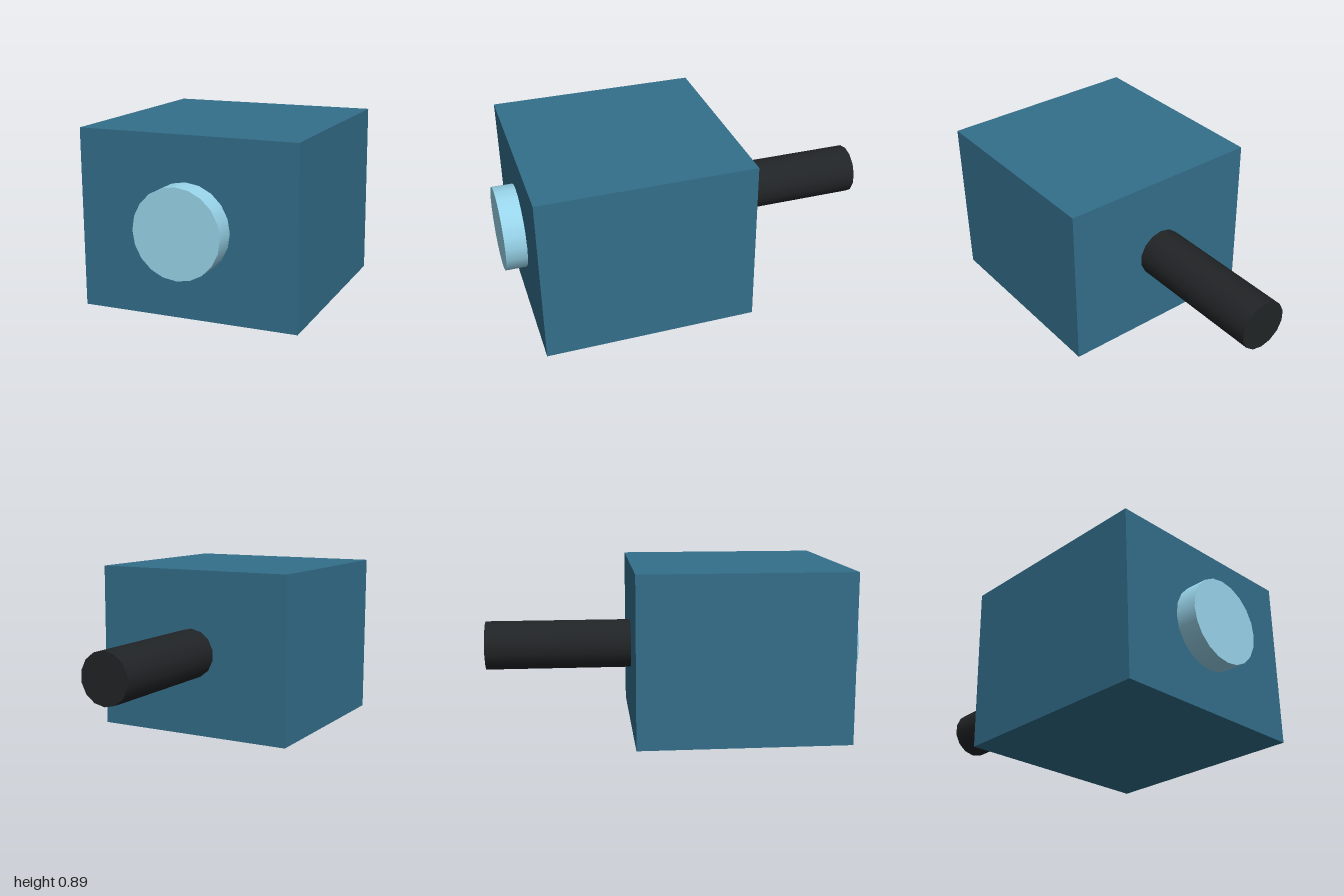
import * as THREE from 'three';

const U = 1 / 9; // base unit: the whole model is 18 units long
const MID = 4 * U; // height of the shared axis

function addPart(group, name, geometry, color, z) {
  const mesh = new THREE.Mesh(geometry, new THREE.MeshStandardMaterial({ color }));
  mesh.name = name;
  mesh.position.set(0, MID, z);
  group.add(mesh);
}

// Cylinder lying along z
const rod = (radius, length, sides) =>
  new THREE.CylinderGeometry(radius, radius, length, sides).rotateX(Math.PI / 2);

export function createModel() {
  const group = new THREE.Group();
  group.name = 'model';

  // Block body
  addPart(group, 'body', new THREE.BoxGeometry(10 * U, 8 * U, 10 * U), 0x336e8a, 3 * U);
  // Round disc on the front face
  addPart(group, 'frontDisc', rod(2 * U, U, 20), 0x98d4ea, 8.5 * U);
  // Dark shaft out of the back face
  addPart(group, 'rearShaft', rod(1.2 * U, 7 * U, 14), 0x212426, -5.5 * U);

  return group;
}
